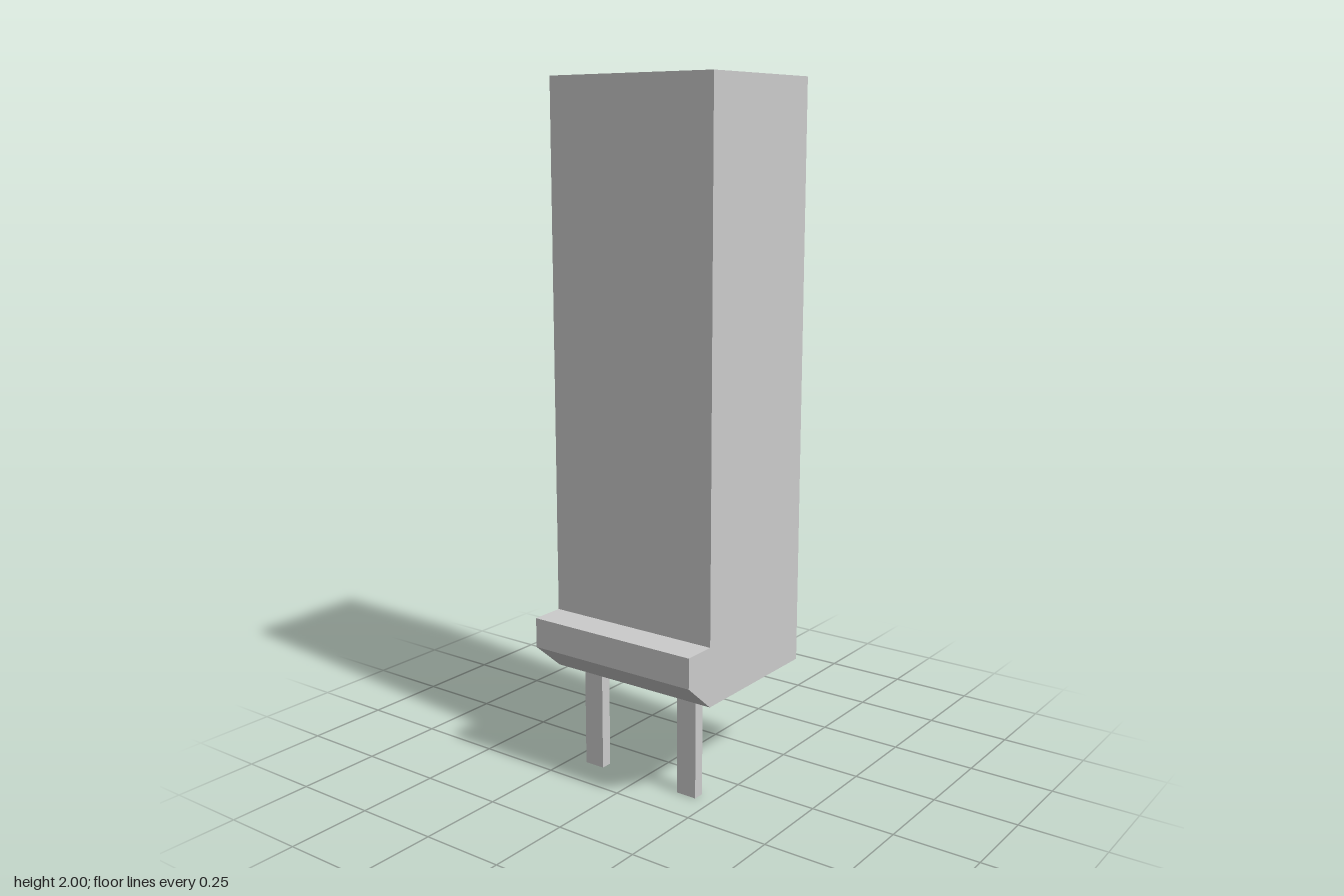
import * as THREE from 'three';

export function createModel() {
  const group = new THREE.Group();
  const material = new THREE.MeshStandardMaterial({ color: 0xcccccc, flatShading: true });
  const width = 0.542, base = 0.305, back = -0.278, front = 0.178, lip = 0.278;

  // Housing with front lip: side profile (z, y) extruded across the width
  const profile = new THREE.Shape([
    [back, base], [front, base], [lip, 0.39], [lip, 0.478],
    [front, 0.478], [front, 2], [back, 2],
  ].map(([z, y]) => new THREE.Vector2(z, y)));
  const housingGeometry = new THREE.ExtrudeGeometry(profile, { depth: width, bevelEnabled: false });
  housingGeometry.translate(0, 0, -width / 2).rotateY(-Math.PI / 2);
  const housing = new THREE.Mesh(housingGeometry, material);
  housing.name = 'housing';
  group.add(housing);

  // Two flat contact pins under the housing
  const pinGeometry = new THREE.BoxGeometry(0.064, base, 0.034);
  for (const side of [-1, 1]) {
    const pin = new THREE.Mesh(pinGeometry, material);
    pin.name = side > 0 ? 'leftPin' : 'rightPin';
    pin.position.set(side * 0.168, base / 2, 0.128);
    group.add(pin);
  }
  return group;
}
